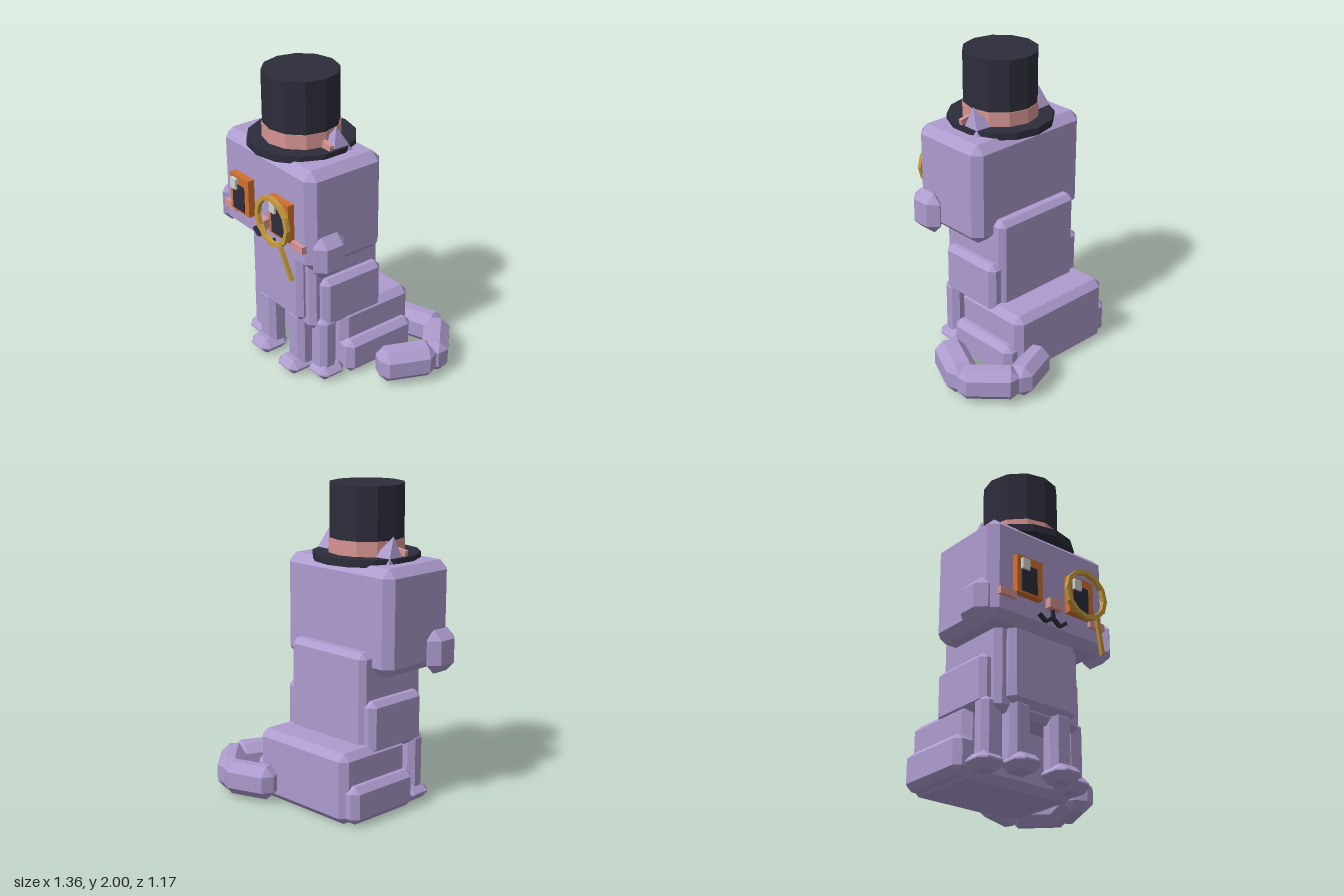
import * as THREE from 'three';
import { ConvexGeometry } from 'three/addons/geometries/ConvexGeometry.js';

const mat = (name, color) => new THREE.MeshStandardMaterial({ name, color, flatShading: true });

// Box with flat chamfers on every edge and corner
function chamferBox(w, h, d, c) {
  const pts = [], x = w / 2, y = h / 2, z = d / 2;
  for (const i of [-1, 1]) for (const j of [-1, 1]) for (const k of [-1, 1]) {
    pts.push(
      new THREE.Vector3(i * x, j * (y - c), k * (z - c)),
      new THREE.Vector3(i * (x - c), j * y, k * (z - c)),
      new THREE.Vector3(i * (x - c), j * (y - c), k * z));
  }
  return new ConvexGeometry(pts);
}

export function createModel() {
  const fur = mat('lilac fur', 0xad9bce);
  const dark = mat('dark felt', 0x2d2c3b);
  const pink = mat('pink', 0xd69593);
  const orange = mat('orange iris', 0xd0702f);
  const gold = mat('gold', 0xc99c3c);
  const white = mat('eye glint', 0xd0d3d0);

  const root = new THREE.Group();
  root.name = 'cat';
  const cat = new THREE.Group();
  cat.name = 'catBody';
  cat.position.x = -0.147;
  root.add(cat);

  const add = (name, geo, m, x = 0, y = 0, z = 0) => {
    const mesh = new THREE.Mesh(geo, m);
    mesh.name = name;
    mesh.position.set(x, y, z);
    cat.add(mesh);
    return mesh;
  };
  // Block given by its bounds; a chamfer of 0 gives a plain box
  const block = (name, m, [x0, x1], [y0, y1], [z0, z1], c = 0) => {
    const w = x1 - x0, h = y1 - y0, d = z1 - z0;
    const geo = c ? chamferBox(w, h, d, c) : new THREE.BoxGeometry(w, h, d);
    return add(name, geo, m, (x0 + x1) / 2, (y0 + y1) / 2, (z0 + z1) / 2);
  };
  const pair = (name, m, [x0, x1], y, z, c) => {
    block('left' + name, m, [x0, x1], y, z, c);
    block('right' + name, m, [-x1, -x0], y, z, c);
  };

  // Body
  block('torso', fur, [-0.324, 0.324], [0.36, 1.02], [-0.17, 0.37], 0.035);
  block('chest', fur, [-0.257, 0.257], [0.41, 0.93], [0.2, 0.42], 0.035);
  block('shoulders', fur, [-0.388, 0.388], [0.39, 0.725], [-0.145, 0.31], 0.035);
  block('rump', fur, [-0.388, 0.388], [0, 0.45], [-0.39, 0.17], 0.045);
  pair('Haunch', fur, [0.3, 0.455], [0.01, 0.25], [-0.36, 0.17], 0.04);

  // Legs and paws
  pair('FrontLeg', fur, [0.078, 0.235], [0.03, 0.45], [0.27, 0.4], 0.035);
  pair('FrontPaw', fur, [0.053, 0.25], [0.005, 0.105], [0.27, 0.48], 0.045);
  pair('HindLeg', fur, [0.235, 0.388], [0.03, 0.45], [0.21, 0.335], 0.035);
  pair('HindPaw', fur, [0.232, 0.425], [0.005, 0.105], [0.165, 0.365], 0.045);

  // Tail: three blocks curling round to the left side
  [
    [0.375, -0.467, 0.36, 0.35, 0.17],
    [0.647, -0.392, 0.385, -0.785, 0.17],
    [0.673, -0.113, 0.38, 1.145, 0.2],
  ].forEach(([x, z, len, turn, w], i) => {
    add('tailSegment' + (i + 1), chamferBox(len, 0.215, w, 0.055), fur, x, 0.128, z).rotation.y = turn;
  });

  // Head and cheeks
  block('head', fur, [-0.458, 0.458], [0.875, 1.54], [-0.09, 0.48], 0.055);
  pair('Cheek', fur, [0.417, 0.542], [0.85, 1.125], [0.235, 0.475], 0.06);

  // Ears poking through the brim, with pink inner plates
  for (const s of [-1, 1]) {
    const ear = new THREE.ConeGeometry(0.115, 0.18, 4);
    ear.rotateY(Math.PI / 4);
    const e = add(s > 0 ? 'leftEar' : 'rightEar', ear, fur, s * 0.262, 1.612, 0.13);
    e.rotation.set(0.1, 0, -s * 0.17);
    const inner = add(s > 0 ? 'leftInnerEar' : 'rightInnerEar',
      new THREE.BoxGeometry(0.075, 0.08, 0.025), pink, s * 0.28, 1.575, 0.208);
    inner.rotation.z = -s * 0.17;
  }

  // Eyes: both pupils and glints sit toward the same side
  pair('Iris', orange, [0.108, 0.303], [1.05, 1.3], [0.46, 0.525]);
  for (const [side, x] of [['right', -0.303], ['left', 0.108]]) {
    block(side + 'Pupil', dark, [x + 0.03, x + 0.15], [1.065, 1.24], [0.5, 0.531]);
    block(side + 'Glint', white, [x + 0.026, x + 0.083], [1.207, 1.277], [0.51, 0.546]);
  }

  // Nose, blush and mouth
  block('nose', pink, [-0.048, 0.048], [1.032, 1.095], [0.46, 0.525]);
  pair('Blush', pink, [0.293, 0.412], [1.012, 1.06], [0.46, 0.505]);
  block('mouthStem', dark, [-0.011, 0.011], [0.965, 1.035], [0.46, 0.5]);
  for (const s of [-1, 1]) {
    const bar = () => new THREE.BoxGeometry(0.06, 0.023, 0.04);
    add('mouthInner', bar(), dark, s * 0.03, 0.96, 0.48).rotation.z = -s * 0.62;
    add('mouthOuter', bar(), dark, s * 0.081, 0.96, 0.48).rotation.z = s * 0.62;
  }

  // Monocle: a flat twelve-sided ring and its handle
  const ringPath = (r) => Array.from({ length: 12 }, (_, i) =>
    new THREE.Vector2(r * Math.cos(i * Math.PI / 6), r * Math.sin(i * Math.PI / 6)));
  const ring = new THREE.Shape(ringPath(0.165));
  ring.holes.push(new THREE.Path(ringPath(0.137)));
  add('monocleRing', new THREE.ExtrudeGeometry(ring, { depth: 0.028, bevelEnabled: false }),
    gold, 0.202, 1.172, 0.555);
  const top = new THREE.Vector3(0.286, 1.035, 0.572), end = new THREE.Vector3(0.352, 0.822, 0.542);
  const dir = top.clone().sub(end);
  const handle = add('monocleHandle', new THREE.BoxGeometry(0.025, dir.length(), 0.022), gold);
  handle.position.copy(top).add(end).multiplyScalar(0.5);
  handle.quaternion.setFromUnitVectors(new THREE.Vector3(0, 1, 0), dir.normalize());

  // Top hat
  const disc = (name, m, r, y0, y1, sides) =>
    add(name, new THREE.CylinderGeometry(r, r, y1 - y0, sides), m, 0, (y0 + y1) / 2, 0.19);
  disc('hatBrim', dark, 0.34, 1.525, 1.572, 14);
  disc('hatBand', pink, 0.245, 1.56, 1.665, 12);
  disc('hatCrown', dark, 0.24, 1.56, 2, 12);

  return root;
}
